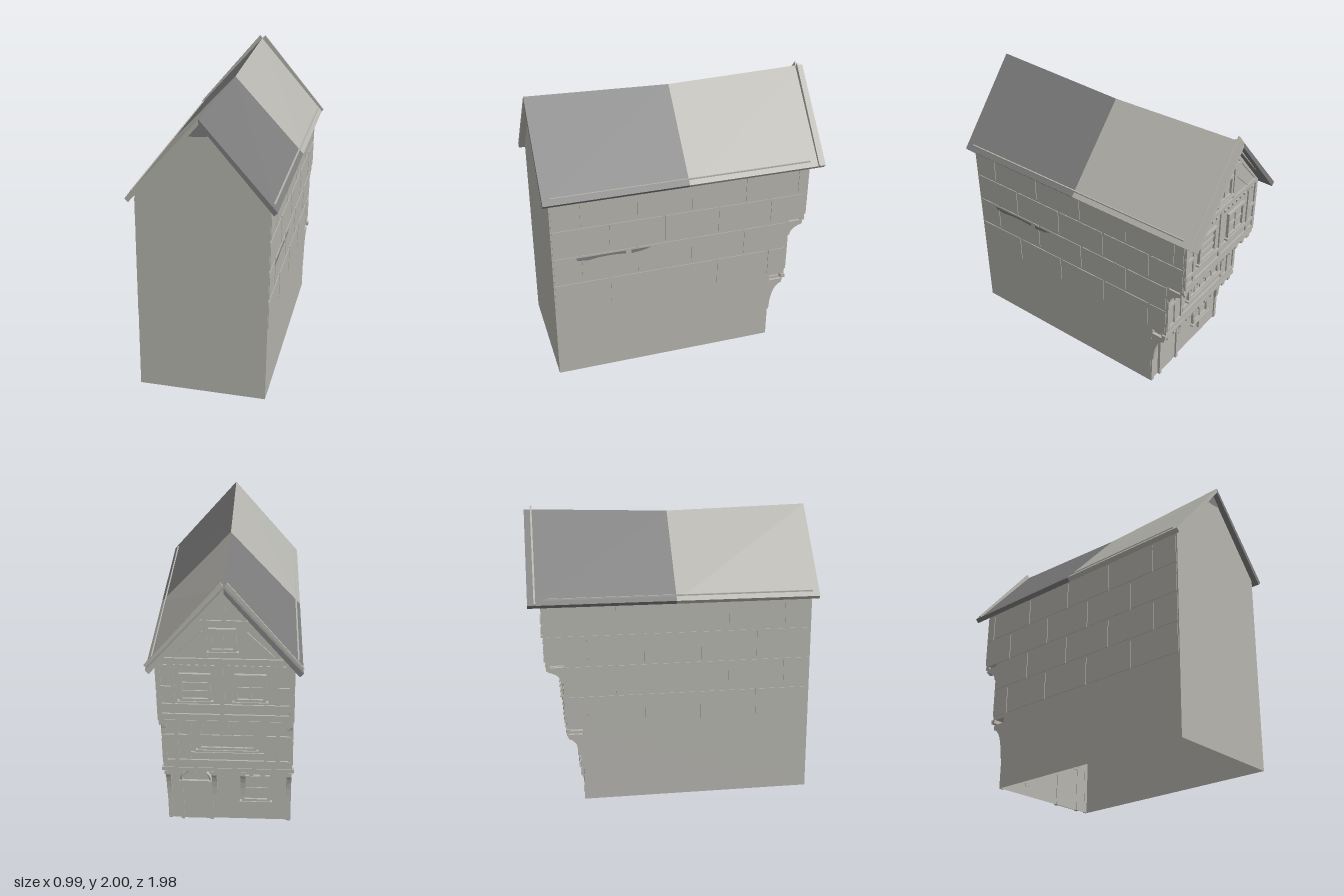
import * as THREE from 'three';

export function createModel() {
  const house = new THREE.Group();
  house.name = 'timberFramedHouse';
  const mat = (name, color) => {
    const m = new THREE.MeshStandardMaterial({ color, side: THREE.DoubleSide, flatShading: true });
    m.name = name;
    return m;
  };
  const light = mat('paleStone', 0xb5b4ae);
  const dark = mat('darkSlate', 0x7c7c7c);

  const HALF = 0.4375, FRONT = 0.947;
  const Z0 = -0.635, Z1 = -0.758, Z2 = -0.883; // back wall of each storey
  const Y1 = 0.53, Y2 = 0.99, EAVE = 1.47, APEX = 1.962;

  const add = (name, geo, m = light, parent = house) => {
    const mesh = new THREE.Mesh(geo, m);
    mesh.name = name;
    parent.add(mesh);
    return mesh;
  };
  // The old walls lean slightly: x shifts with height
  const lean = (geo) => {
    const p = geo.attributes.position;
    for (let i = 0; i < p.count; i++) p.setX(i, p.getX(i) - 0.0225 + 0.0143 * p.getY(i));
    geo.computeVertexNormals();
    return geo;
  };
  const wall = (name, geo, m, parent) => add(name, lean(geo), m, parent);
  const poly = (pts) => new THREE.Shape(pts.map(([x, y]) => new THREE.Vector2(x, y)));
  const box = (name, x, y, z, w, h, d, parent, rot = 0, m = light) =>
    wall(name, new THREE.BoxGeometry(w, h, d).rotateZ(rot).translate(x, y, z), m, parent);

  // Side walls, stepped out at each jetty
  const profile = [[FRONT, 0], [FRONT, EAVE], [Z2, EAVE], [Z2, Y2], [Z1, Y2], [Z1, Y1], [Z0, Y1], [Z0, 0]];
  for (const s of [-1, 1]) {
    const g = new THREE.ShapeGeometry(poly(profile.map(([z, y]) => [-s * z, y])));
    wall('sideWall', g.rotateY(s * Math.PI / 2).translate(s * HALF, 0, 0));

    // Block courses
    const courses = new THREE.Group();
    courses.name = 'stoneCourses';
    house.add(courses);
    const rowH = 0.215, len = 0.39, gap = 0.018;
    for (let r = 0; r < 4; r++) {
      const y = 0.55 + r * rowH;
      const back = y + rowH * 0.5 > Y2 ? Z2 : Z1;
      for (let z = FRONT + (r % 2 ? len / 2 : 0); z > back; z -= len) {
        const a = Math.min(z, FRONT) - gap / 2, b = Math.max(z - len, back) + gap / 2;
        if (a - b > 0.03)
          box('stoneBlock', s * (HALF + 0.001), y + rowH / 2, (a + b) / 2, 0.008, rowH - gap, a - b, courses);
      }
    }
    // Wall plate showing along the eaves
    add('wallPlate', new THREE.BoxGeometry(0.012, 0.012, 1.82).translate(s * 0.458 - 0.004, 1.449, 0.03));
  }

  // Dark worn patches on the left side wall
  const worn = [
    [[0.78, 0.96], [0.44, 0.96], [0.44, 0.938], [0.53, 0.945], [0.62, 0.943], [0.70, 0.932], [0.78, 0.94]],
    [[0.40, 0.96], [0.26, 0.96], [0.31, 0.942], [0.40, 0.932]],
  ];
  for (const pts of worn)
    wall('wornPatch', new THREE.ShapeGeometry(poly(pts.map(([z, y]) => [-z, y])))
      .rotateY(Math.PI / 2).translate(HALF + 0.008, 0, 0), dark);

  // Front gable wall and its dark tip
  wall('frontWall', new THREE.ShapeGeometry(
    poly([[-HALF, 0], [HALF, 0], [HALF, EAVE], [0, APEX], [-HALF, EAVE]])).translate(0, 0, FRONT));
  add('gableTip', new THREE.ShapeGeometry(
    poly([[-0.1, 1.85], [0.0, 1.853], [0.09, 1.868], [0.005, 1.965]])).translate(0, 0, FRONT + 0.004), dark);

  // Back storeys and jetty undersides
  const backFace = (name, pts, z) =>
    wall(name, new THREE.ShapeGeometry(poly(pts)).rotateY(Math.PI).translate(0, 0, z));
  const rect = (a, b) => [[-HALF, a], [HALF, a], [HALF, b], [-HALF, b]];
  backFace('groundStorey', rect(0, Y1), Z0);
  backFace('middleStorey', rect(Y1, Y2), Z1);
  backFace('upperStorey', [[-HALF, Y2], [HALF, Y2], [HALF, EAVE], [0, APEX], [-HALF, EAVE]], Z2);
  for (const [y, a, b] of [[Y1, Z0, Z1], [Y2, Z1, Z2]])
    wall('jettySoffit', new THREE.PlaneGeometry(2 * HALF, a - b).rotateX(Math.PI / 2).translate(0, y, (a + b) / 2));

  // Timber strips on a back wall
  const timbers = new THREE.Group();
  timbers.name = 'timberFrame';
  house.add(timbers);
  const post = (x, y0, y1, z, w = 0.028) => box('post', x, (y0 + y1) / 2, z - 0.004, w, y1 - y0, 0.012, timbers);
  const rail = (x0, x1, y, z, h = 0.026) => box('rail', (x0 + x1) / 2, y, z - 0.005, Math.abs(x1 - x0), h, 0.014, timbers);
  const brace = (x0, y0, x1, y1, z) =>
    box('brace', (x0 + x1) / 2, (y0 + y1) / 2, z - 0.004, Math.hypot(x1 - x0, y1 - y0), 0.026, 0.012,
      timbers, Math.atan2(y1 - y0, x1 - x0));

  for (const s of [-1, 1]) {
    post(s * 0.422, 0, Y1, Z0);
    for (const x of [0.422, 0.34, 0.26]) post(s * x, 0.57, 0.98, Z1);
    rail(s * 0.26, s * 0.43, 0.79, Z1);
    for (const x of [0.422, 0.335]) post(s * x, 1.02, 1.43, Z2);
    rail(s * 0.335, s * 0.43, 1.24, Z2);
    // Gable framing
    brace(s * 0.43, 1.44, s * 0.01, 1.915, Z2);
    post(s * 0.12, 1.46, 1.78, Z2);
    brace(s * 0.30, 1.47, s * 0.13, 1.64, Z2);
  }
  post(0.02, 1.02, 1.43, Z2);
  post(0, 1.72, 1.9, Z2);
  rail(-0.43, 0.43, 0.585, Z1, 0.03);
  rail(-0.26, 0.26, 0.65, Z1);
  rail(-0.43, 0.43, 0.955, Z1);
  rail(-0.43, 0.43, 1.03, Z2, 0.035);
  rail(-0.43, 0.43, 1.11, Z2);
  rail(-0.43, 0.43, 1.44, Z2, 0.035);
  rail(-0.2, 0.2, 1.71, Z2);
  for (let i = 0; i < 16; i++) box('peg', -0.375 + i * 0.05, 1.40, Z2 - 0.004, 0.022, 0.016, 0.012, timbers);

  // Jetty beams, joist ends and curved brackets
  const bracket = (x, y, z, d, h) => {
    const s = new THREE.Shape();
    s.moveTo(0, 0);
    s.lineTo(d, 0);
    s.lineTo(d, -0.03);
    s.quadraticCurveTo(0.025, -0.05, 0.02, -h);
    s.lineTo(0, -h);
    const g = new THREE.ExtrudeGeometry(s, { depth: 0.034, bevelEnabled: false, curveSegments: 6 });
    wall('bracket', g.rotateY(Math.PI / 2).translate(x - 0.017, y, z), light, timbers);
  };
  box('jettyBeam', 0, 0.515, Z1 + 0.012, 0.9, 0.028, 0.03, timbers);
  box('jettyBeam', 0, 0.982, Z2 + 0.012, 0.87, 0.026, 0.03, timbers);
  for (let i = 0; i < 11; i++) {
    const x = -0.4 + i * 0.08;
    box('joist', x, 0.485, (Z0 + Z1) / 2, 0.03, 0.035, 0.12, timbers);
    box('joist', x, 0.955, (Z1 + Z2) / 2, 0.03, 0.035, 0.12, timbers);
  }
  for (const x of [-0.42, -0.1, 0.1, 0.42]) bracket(x, 0.485, Z0, 0.11, 0.26);
  for (const x of [-0.42, 0.42]) bracket(x, 0.97, Z1, 0.11, 0.11);

  // Windows: pane, frame, glazing bars and sill
  const windowUnit = (x, y, z, w, h, cols, rows) => {
    const g = new THREE.Group();
    g.name = 'window';
    house.add(g);
    box('pane', x, y, z - 0.002, w, h, 0.006, g);
    for (const s of [-1, 1]) {
      box('jamb', x + s * w / 2, y, z - 0.008, 0.02, h + 0.02, 0.024, g);
      box('frameRail', x, y + s * h / 2, z - 0.008, w + 0.02, 0.02, 0.024, g);
    }
    for (let i = 1; i < cols; i++) box('mullion', x - w / 2 + w * i / cols, y, z - 0.006, 0.011, h, 0.014, g);
    for (let i = 1; i < rows; i++) box('transom', x, y - h / 2 + h * i / rows, z - 0.006, w, 0.011, 0.014, g);
    box('sill', x, y - h / 2 - 0.015, z - 0.012, w + 0.05, 0.014, 0.03, g);
  };
  windowUnit(-0.19, 0.28, Z0, 0.18, 0.2, 2, 2);
  box('sillPost', -0.19, 0.12, Z0 - 0.008, 0.03, 0.1, 0.02, house);
  windowUnit(0, 0.8, Z1, 0.37, 0.2, 5, 2);
  windowUnit(0.19, 1.25, Z2, 0.18, 0.18, 1, 3);
  windowUnit(-0.16, 1.25, Z2, 0.18, 0.18, 2, 2);
  windowUnit(0.01, 1.59, Z2, 0.15, 0.14, 2, 1);

  // Arched door
  const door = new THREE.Group();
  door.name = 'door';
  house.add(door);
  box('doorPanel', 0.23, 0.16, Z0 - 0.003, 0.2, 0.32, 0.008, door);
  for (const s of [-1, 1]) box('doorPost', 0.23 + s * 0.105, 0.165, Z0 - 0.008, 0.026, 0.33, 0.024, door);
  box('doorLintel', 0.23, 0.325, Z0 - 0.008, 0.236, 0.024, 0.024, door);
  wall('doorArch', new THREE.TorusGeometry(0.105, 0.012, 4, 10, Math.PI).translate(0.23, 0.33, Z0 - 0.003), light, door);

  // Roof quarters: thin slabs with a sagging ridge, alternating in colour
  const L = 0.988;
  for (const sx of [-1, 1]) for (const sz of [-1, 1]) {
    const slab = poly([[0, 1.978], [sx * 0.488, 1.418], [sx * 0.465, 1.394], [0, 1.943]]);
    const g = new THREE.ExtrudeGeometry(slab, { depth: L, bevelEnabled: false });
    if (sz < 0) g.translate(0, 0, -L);
    const p = g.attributes.position;
    for (let i = 0; i < p.count; i++) {
      const sag = 0.03 * (1 - Math.abs(p.getZ(i)) / L) * (1 - Math.abs(p.getX(i)) / 0.488);
      p.setXYZ(i, p.getX(i) - 0.004, p.getY(i) - sag, p.getZ(i));
    }
    g.computeVertexNormals();
    add('roofQuarter', g, sx * sz < 0 ? light : dark);
  }

  // Bargeboards over the back gable
  for (const s of [-1, 1]) {
    const b = poly([[s * 0.002, 1.975], [s * 0.02, 2], [s * 0.497, 1.43], [s * 0.47, 1.402], [s * 0.002, 1.93]]);
    add('bargeboard', new THREE.ExtrudeGeometry(b, { depth: 0.012, bevelEnabled: false }).translate(0, 0, -0.946));
  }
  return house;
}
